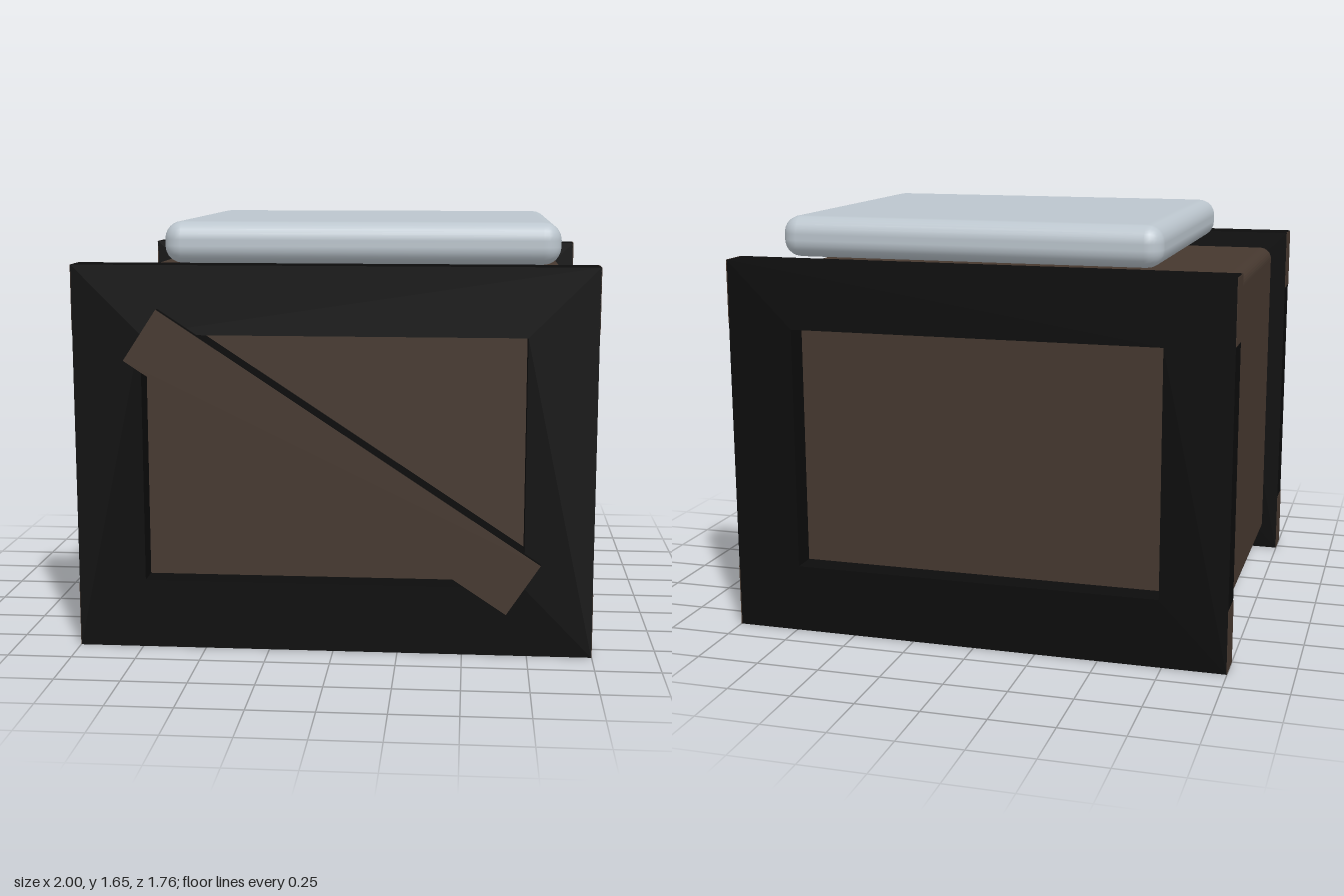
import * as THREE from 'three';
import { RoundedBoxGeometry } from 'three/addons/geometries/RoundedBoxGeometry.js';

const material = (name, color) => {
  const m = new THREE.MeshStandardMaterial({ color });
  m.name = name;
  return m;
};

// Rectangle with rounded corners, as a shape or a hole
function roundedRect(target, x0, y0, x1, y1, r) {
  target.moveTo(x0 + r, y0);
  target.lineTo(x1 - r, y0);
  target.absarc(x1 - r, y0 + r, r, -Math.PI / 2, 0);
  target.lineTo(x1, y1 - r);
  target.absarc(x1 - r, y1 - r, r, 0, Math.PI / 2);
  target.lineTo(x0 + r, y1);
  target.absarc(x0 + r, y1 - r, r, Math.PI / 2, Math.PI);
  target.lineTo(x0, y0 + r);
  target.absarc(x0 + r, y0 + r, r, Math.PI, Math.PI * 1.5);
  return target;
}

function rect(target, x0, y0, x1, y1) {
  target.moveTo(x0, y0);
  target.lineTo(x1, y0);
  target.lineTo(x1, y1);
  target.lineTo(x0, y1);
  target.closePath();
  return target;
}

export function createModel() {
  const model = new THREE.Group();
  model.name = 'crateStool';
  const wood = material('brownWood', 0x46382f);
  const black = material('blackTrim', 0x0c0c0c);
  const fabric = material('paleGreyFabric', 0xbcc6ce);

  const add = (parent, name, geometry, mat, x = 0, y = 0, z = 0) => {
    const mesh = new THREE.Mesh(geometry, mat);
    mesh.name = name;
    mesh.position.set(x, y, z);
    parent.add(mesh);
    return mesh;
  };

  // Crate body, rounded along its four long edges and set into both frames
  const bodyShape = roundedRect(new THREE.Shape(), -0.93, 0.07, 0.93, 1.43, 0.05);
  const bodyGeometry = new THREE.ExtrudeGeometry(bodyShape, { depth: 1.53, bevelEnabled: false, curveSegments: 4 });
  add(model, 'crateBody', bodyGeometry, wood, 0, 0, -0.78);

  // End frames with bare wood at the ends of the top and bottom rails
  const frameShape = rect(new THREE.Shape(), -0.998, 0, 0.998, 1.5);
  frameShape.holes.push(rect(new THREE.Path(), -0.735, 0.27, 0.735, 1.235));
  const frameGeometry = new THREE.ExtrudeGeometry(frameShape, { depth: 0.13, bevelEnabled: false });
  const railEndGeometry = new THREE.BoxGeometry(0.004, 0.25, 0.13);
  for (const [side, z] of [['front', 0.72], ['back', -0.88]]) {
    const frame = new THREE.Group();
    frame.name = side + 'Frame';
    frame.position.z = z;
    model.add(frame);
    add(frame, 'frameBorder', frameGeometry, black);
    for (const x of [-0.998, 0.998]) {
      for (const y of [0.125, 1.375]) add(frame, 'railEnd', railEndGeometry, wood, x, y, 0.065);
    }
  }

  // Diagonal brace: wooden face, black edges
  const brace = add(model, 'diagonalBrace', new THREE.BoxGeometry(1.755, 0.235, 0.15),
    [black, black, black, black, wood, black], 0, 0.753, 0.805);
  brace.rotation.z = -0.583;

  // Seat cushion, slightly off centre above the lid
  add(model, 'cushion', new RoundedBoxGeometry(1.55, 0.165, 1.33, 3, 0.07), fabric, 0.09, 1.572, -0.015);

  return model;
}
